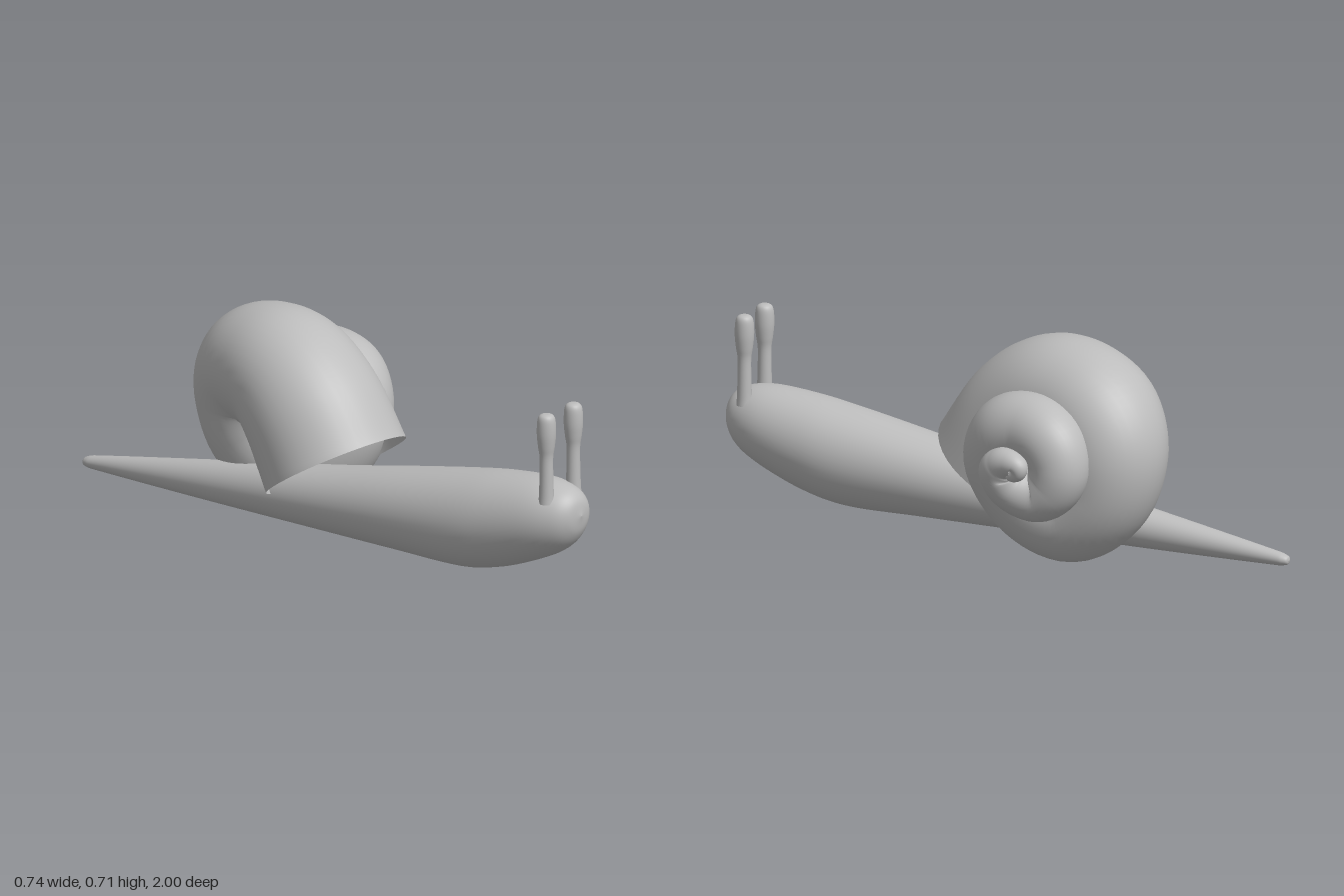
import * as THREE from 'three';

const grey = new THREE.MeshStandardMaterial({ color: 0xbcbcbc, side: THREE.DoubleSide });
grey.name = 'grey';

// Smooth interpolation through rows of numbers; t runs over the row indices
function spline(rows) {
  const width = rows[0].length;
  const track = new THREE.CubicInterpolant(
    new Float32Array(rows.map((_, i) => i)), new Float32Array(rows.flat()), width);
  return t => Array.from(track.evaluate(t));
}

// Skin over elliptical rings; ring(i) gives centre and two half-axes
function loft(count, sides, ring) {
  const pos = [], index = [];
  for (let i = 0; i <= count; i++) {
    const { c, u, v } = ring(i / count);
    for (let j = 0; j < sides; j++) {
      const a = j / sides * Math.PI * 2;
      const p = c.clone().addScaledVector(u, Math.cos(a)).addScaledVector(v, Math.sin(a));
      pos.push(p.x, p.y, p.z);
      if (i === count) continue;
      const a0 = i * sides + j, a1 = i * sides + (j + 1) % sides;
      index.push(a0, a1, a0 + sides, a1, a1 + sides, a0 + sides);
    }
  }
  const geo = new THREE.BufferGeometry();
  geo.setAttribute('position', new THREE.Float32BufferAttribute(pos, 3));
  geo.setIndex(index);
  geo.computeVertexNormals();
  return geo;
}

function add(group, name, geo) {
  const mesh = new THREE.Mesh(geo, grey);
  mesh.name = name;
  group.add(mesh);
  return mesh;
}

export function createModel() {
  const model = new THREE.Group();
  model.name = 'snail';
  const bodyX = -0.13;

  // Body from tail to head: z, top, bottom, half width
  const bodyRows = [
    [-1, 0.055, 0.055, 0], [-0.985, 0.072, 0.038, 0.02], [-0.9, 0.09, 0.034, 0.03],
    [-0.5, 0.16, 0.03, 0.067], [0, 0.245, 0.03, 0.115], [0.3, 0.303, 0.03, 0.143],
    [0.55, 0.35, 0.03, 0.158], [0.7, 0.374, 0.058, 0.153], [0.85, 0.386, 0.115, 0.132],
    [0.94, 0.372, 0.165, 0.1], [0.985, 0.34, 0.22, 0.058], [1, 0.285, 0.285, 0],
  ];
  const bodyAt = spline(bodyRows);
  add(model, 'body', loft(88, 40, s => {
    const [z, top, bottom, half] = bodyAt(s * (bodyRows.length - 1));
    return {
      c: new THREE.Vector3(bodyX, (top + bottom) / 2, z),
      u: new THREE.Vector3(Math.max(half, 0), 0, 0),
      v: new THREE.Vector3(0, Math.max((top - bottom) / 2, 0), 0),
    };
  }));

  // Shell tube from the open mouth to the tip, every eighth turn: x, y, z, radius
  const shellRows = [
    [-0.13, 0.25, 0.013, 0.24], [-0.115, 0.395, -0.08, 0.232], [-0.09, 0.475, -0.175, 0.222],
    [-0.06, 0.496, -0.27, 0.213], [-0.02, 0.468, -0.375, 0.203], [0.01, 0.375, -0.427, 0.19],
    [0.02, 0.25, -0.4, 0.178], [0.03, 0.17, -0.3, 0.167], [0.055, 0.215, -0.18, 0.155],
    [0.095, 0.33, -0.112, 0.143], [0.14, 0.43, -0.15, 0.132], [0.17, 0.46, -0.24, 0.12],
    [0.2, 0.435, -0.32, 0.111], [0.215, 0.365, -0.353, 0.1], [0.22, 0.3, -0.33, 0.093],
    [0.23, 0.267, -0.275, 0.085], [0.26, 0.295, -0.205, 0.076], [0.29, 0.35, -0.178, 0.066],
    [0.31, 0.382, -0.2, 0.055], [0.325, 0.392, -0.235, 0.044], [0.333, 0.385, -0.265, 0.035],
    [0.335, 0.365, -0.265, 0.026], [0.335, 0.355, -0.24, 0.018], [0.34, 0.362, -0.22, 0],
  ];
  const shellAt = spline(shellRows);
  const last = shellRows.length - 1;
  const shellPoint = t => new THREE.Vector3(...shellAt(THREE.MathUtils.clamp(t, 0, last)));
  add(model, 'shell', loft(last * 8, 40, s => {
    const t = s * last;
    const c = shellPoint(t);
    const along = shellPoint(t + 0.05).sub(shellPoint(t - 0.05)).normalize();
    // The coil axis is close to x, so rings are framed from it
    const u = new THREE.Vector3(1, 0, 0);
    u.addScaledVector(along, -u.dot(along)).normalize();
    const v = along.clone().cross(u);
    const r = Math.max(shellAt(t)[3], 0);
    return { c, u: u.multiplyScalar(r), v: v.multiplyScalar(r) };
  }));

  // Eye stalks with swollen, rounded tips
  const stalkProfile = new THREE.SplineCurve([
    [0.026, 0.33], [0.024, 0.36], [0.022, 0.43], [0.022, 0.485], [0.027, 0.52],
    [0.031, 0.56], [0.03, 0.6], [0.025, 0.62], [0.014, 0.628], [0, 0.629],
  ].map(p => new THREE.Vector2(...p))).getPoints(40);
  stalkProfile.forEach(p => { p.x = Math.max(p.x, 0); });
  for (const [name, side] of [['rightEyeStalk', -1], ['leftEyeStalk', 1]]) {
    const stalk = add(model, name, new THREE.LatheGeometry(stalkProfile, 24));
    stalk.position.set(bodyX + side * 0.07, 0, 0.912);
  }

  return model;
}
